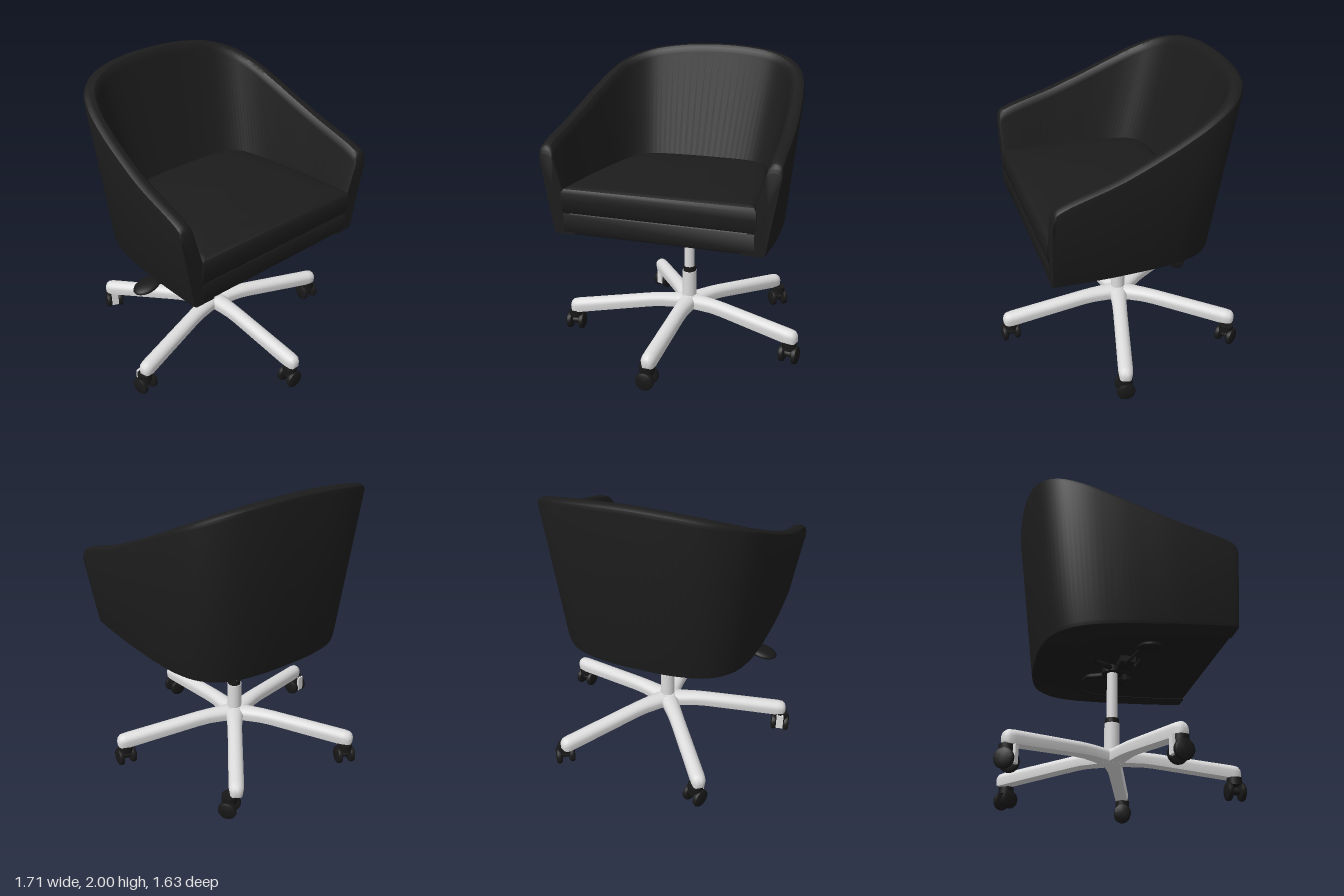
import * as THREE from 'three';
import { toCreasedNormals } from 'three/addons/utils/BufferGeometryUtils.js';

const V = (x, y, z) => new THREE.Vector3(x, y, z);
const material = (name, color) => Object.assign(new THREE.MeshStandardMaterial({ color }), { name });

// Skin a series of closed rings and close both ends with fans.
function loft(rings, crease = 0.6) {
  const n = rings[0].length, m = rings.length;
  const pts = rings.flat(), index = [];
  for (let i = 0; i < m - 1; i++) {
    for (let j = 0; j < n; j++) {
      const k = (j + 1) % n, a = i * n + j, b = a + n, c = (i + 1) * n + k, d = i * n + k;
      index.push(a, b, c, a, c, d);
    }
  }
  for (const end of [0, m - 1]) {
    const mid = V(0, 0, 0);
    rings[end].forEach((p) => mid.addScaledVector(p, 1 / n));
    const c = pts.push(mid) - 1;
    for (let j = 0; j < n; j++) {
      const a = end * n + j, b = end * n + (j + 1) % n;
      if (end === 0) index.push(c, a, b); else index.push(c, b, a);
    }
  }
  const geo = new THREE.BufferGeometry().setFromPoints(pts);
  geo.setIndex(index);
  return toCreasedNormals(geo.toNonIndexed(), crease);
}

// Smooth curve through half of a symmetric outline, mirrored about x = 0.
function mirroredCurve(half) {
  const pts = half.map((p) => V(...p));
  const other = pts.slice(0, -1).reverse().map((p) => V(-p.x, p.y, p.z));
  return new THREE.CatmullRomCurve3([...pts, ...other]);
}

const undersideY = (z) => 0.868 + 0.05 * z;

// Wrap-around shell: one wall section per step along the rim curve.
function shellGeometry() {
  const rim = mirroredCurve([
    [0.768, 1.41, 0.592], [0.772, 1.45, 0.577], [0.773, 1.48, 0.53], [0.77, 1.585, 0.2],
    [0.758, 1.663, 0], [0.74, 1.748, -0.2], [0.703, 1.838, -0.4], [0.633, 1.903, -0.55],
    [0.49, 1.955, -0.665], [0.27, 1.988, -0.72], [0, 2, -0.732]]);
  const steps = 100, rings = [];
  for (let i = 0; i <= steps; i++) {
    const p = rim.getPoint(i / steps), t = rim.getTangent(i / steps);
    let inward = V(t.z, 0, -t.x).normalize();
    if (i < 12 || i > steps - 12) inward = V(-Math.sign(p.x), 0, 0);
    const top = (inset, drop) => p.clone().addScaledVector(inward, inset).setY(p.y - drop);
    const low = (sx, sz, up) => {
      const z = 0.592 - (0.592 - p.z) * sz;
      return V(p.x * sx, undersideY(z) + up, z);
    };
    rings.push([
      low(0.872, 0.885, 0), low(0.89, 0.893, 0.008), low(0.898, 0.896, 0.03),
      top(0, 0.035), top(0.006, 0.014), top(0.022, 0.002), top(0.045, 0), top(0.07, 0.005),
      top(0.088, 0.025), top(0.096, 0.055), low(0.7, 0.67, 0)]);
  }
  return loft(rings);
}

// Seat layers: [scale, height function of z] stacked from the bottom up.
function seatGeometry(layers) {
  const outline = mirroredCurve([
    [0.62, 0, 0.594], [0.6, 0, 0.3], [0.557, 0, 0], [0.518, 0, -0.2], [0.485, 0, -0.3],
    [0.43, 0, -0.36], [0.33, 0, -0.388], [0.16, 0, -0.4], [0, 0, -0.403]]);
  const plan = outline.getPoints(64).reverse();
  return loft(layers.map(([s, y]) => plan.map((p) => {
    const z = 0.1 + (p.z - 0.1) * s;
    return V(p.x * s, y(z), z);
  })), 0.7);
}

// Base leg along +z: flat underside, rounded top, rounded tip.
function legGeometry() {
  const stations = [
    [0, 0.2, 0.29, 0.07], [0.1, 0.202, 0.29, 0.058], [0.2, 0.205, 0.29, 0.052], [0.28, 0.2, 0.286, 0.05],
    [0.8, 0.145, 0.238, 0.049], [0.835, 0.145, 0.232, 0.044], [0.853, 0.15, 0.217, 0.03],
    [0.86, 0.16, 0.2, 0.014]];
  return loft(stations.map(([r, bottom, top, w]) => {
    const ring = [V(-w * 0.85, bottom, r)];
    for (let k = 0; k <= 10; k++) {
      const a = Math.PI * (1 - k / 10);
      const side = bottom + (top - bottom) * 0.5;
      ring.push(V(w * Math.cos(a), side + (top - side) * Math.sin(a), r));
    }
    ring.push(V(w * 0.85, bottom, r));
    return ring;
  }), 0.8);
}

export function createModel() {
  const upholstery = material('black upholstery', 0x1c1c1c);
  const plastic = material('black plastic', 0x181818);
  const metal = material('light metal', 0xdcdcdc);
  const chair = new THREE.Group();
  chair.name = 'swivelChair';

  const add = (parent, name, geo, mat, x = 0, y = 0, z = 0) => {
    const mesh = new THREE.Mesh(geo, mat);
    mesh.name = name;
    mesh.position.set(x, y, z);
    parent.add(mesh);
    return mesh;
  };
  const cyl = (r, h, sides = 28, r2 = r) => new THREE.CylinderGeometry(r, r2, h, sides);

  // Upholstered body
  add(chair, 'shell', shellGeometry(), upholstery);
  add(chair, 'seatBase', seatGeometry([
    [0.98, (z) => undersideY(z) + 0.004], [1, (z) => undersideY(z) + 0.02],
    [1, () => 1.03], [0.99, () => 1.038]]), upholstery);
  const tilt = (y) => (z) => y - 0.025 * z;
  add(chair, 'seatCushion', seatGeometry([
    [0.99, () => 1.038], [1.005, () => 1.048], [1.018, () => 1.12], [1.012, tilt(1.185)],
    [0.99, tilt(1.21)], [0.94, tilt(1.224)], [0.7, tilt(1.237)], [0.35, tilt(1.243)],
    [0.1, tilt(1.245)]]), upholstery);

  // Column
  const cx = 0.008, cz = -0.062;
  add(chair, 'upperColumn', cyl(0.036, 0.36), metal, cx, 0.67, cz);
  add(chair, 'columnCollar', cyl(0.045, 0.04), plastic, cx, 0.485, cz);
  add(chair, 'lowerColumn', cyl(0.05, 0.25), metal, cx, 0.345, cz);

  // Mounting bracket under the seat
  add(chair, 'bracketHub', cyl(0.07, 0.04), plastic, cx, 0.845, cz);
  for (const sx of [-1, 1]) {
    for (const sz of [-1, 1]) {
      const path = new THREE.CatmullRomCurve3([
        V(0, 0.85, cz), V(sx * 0.08, 0.845, cz + sz * 0.05),
        V(sx * 0.13, 0.845, cz + sz * 0.14), V(sx * 0.21, 0.85, cz + sz * 0.16)]);
      add(chair, 'bracketArm', new THREE.TubeGeometry(path, 16, 0.02, 8), plastic);
    }
    add(chair, 'bracketPlate', new THREE.BoxGeometry(0.14, 0.04, 0.1), plastic, sx * 0.15, 0.845, 0);
  }

  // Height lever
  const rod = new THREE.LineCurve3(V(-0.04, 0.85, -0.02), V(-0.6, 0.75, 0.01));
  add(chair, 'leverRod', new THREE.TubeGeometry(rod, 1, 0.01, 8), plastic);
  const paddle = add(chair, 'leverPaddle', new THREE.SphereGeometry(1, 24, 14), plastic, -0.645, 0.733, 0.04);
  paddle.scale.set(0.098, 0.028, 0.072);
  paddle.rotation.z = 0.2;

  // Five-legged base: leg directions in degrees from the front
  add(chair, 'baseHub', cyl(0.06, 0.085, 28, 0.07), metal, cx, 0.2455, cz);
  const leg = legGeometry();
  for (const degrees of [0, 74, 143.5, 214.5, 286.5]) {
    add(chair, 'baseLeg', leg, metal, cx, 0, cz).rotation.y = THREE.MathUtils.degToRad(degrees);
  }

  // Twin-wheel casters: x, z, swivel angle, whether the light fork shows
  const casters = [
    [-0.005, 0.75, Math.PI / 2, false], [0.782, 0.165, -0.15, false], [-0.788, 0.165, 0.15, true],
    [0.53, -0.695, 0.6, false], [-0.437, -0.742, 2.73, true]];
  const wheel = toCreasedNormals(new THREE.LatheGeometry([
    [0, -0.02], [0.045, -0.02], [0.058, -0.013], [0.061, 0], [0.058, 0.013], [0.045, 0.02], [0, 0.02],
  ].map((p) => new THREE.Vector2(...p)), 28), 0.7).rotateZ(Math.PI / 2);
  for (const [x, z, angle, hasFork] of casters) {
    const caster = new THREE.Group();
    caster.name = 'caster';
    caster.position.set(x, 0, z);
    caster.rotation.y = angle;
    for (const s of [-1, 1]) add(caster, 'wheel', wheel, plastic, s * 0.044, 0.061, 0);
    add(caster, 'casterHousing', cyl(0.05, 0.05, 20), plastic, 0, 0.125, 0);
    add(caster, 'casterAxle', cyl(0.022, 0.08, 16).rotateZ(Math.PI / 2), plastic, 0, 0.061, 0);
    if (hasFork) add(caster, 'casterFork', new THREE.BoxGeometry(0.05, 0.11, 0.02), metal, 0, 0.095, -0.048);
    chair.add(caster);
  }
  return chair;
}
